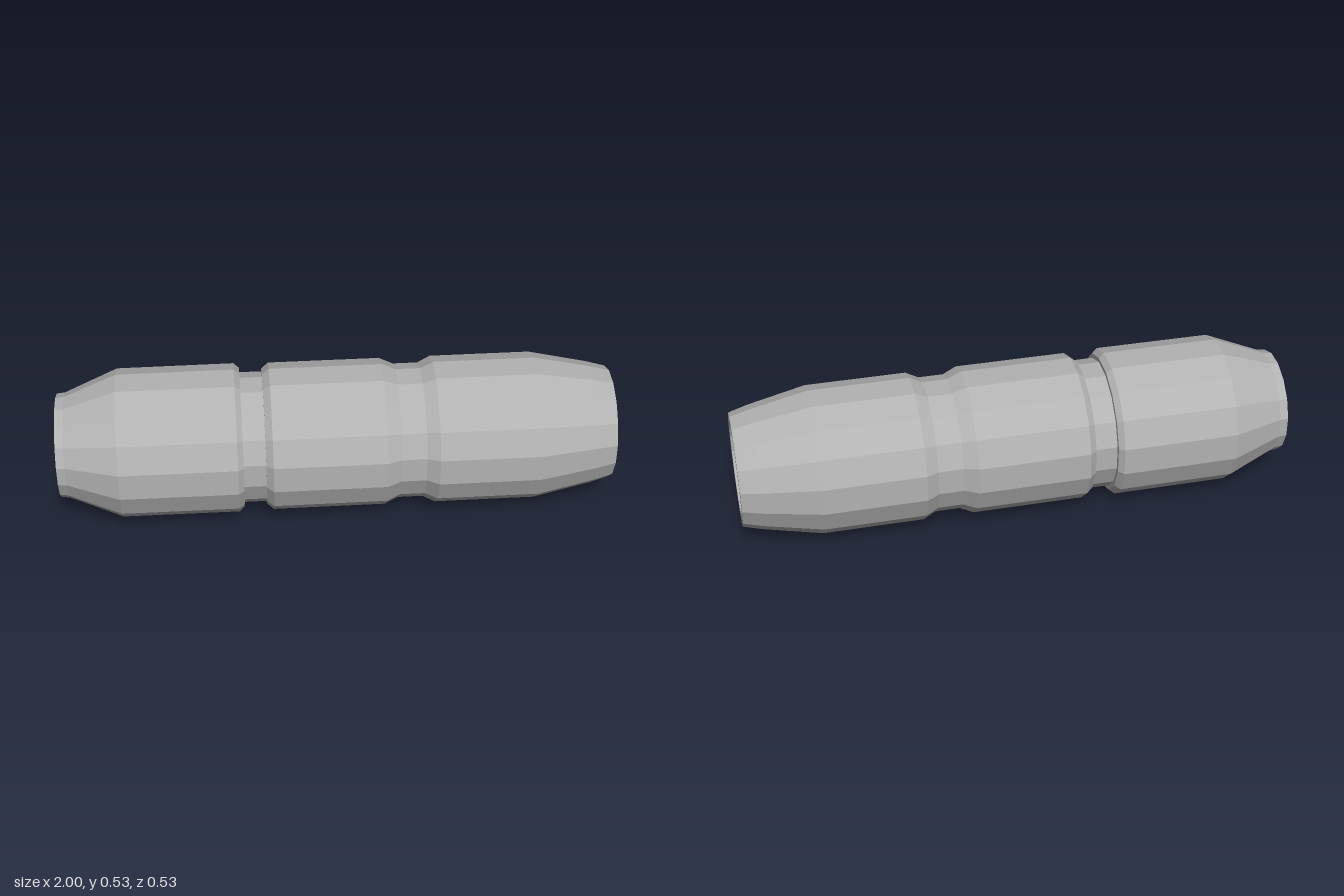
import * as THREE from 'three';

const SIDES = 16;
const CENTRE_Y = 0.265;
const grey = new THREE.MeshStandardMaterial({ color: 0xb2b2b2 });
grey.name = 'grey metal';

// Faceted turned part along x; profile lists [x, half height across the flats]
function turned(name, profile) {
  const k = 1 / Math.cos(Math.PI / SIDES);
  const points = profile.map(([x, r]) => new THREE.Vector2(r * k, x));
  const lathe = new THREE.LatheGeometry(points, SIDES, Math.PI / SIDES);
  lathe.rotateZ(-Math.PI / 2);
  const geometry = lathe.toNonIndexed();
  geometry.computeVertexNormals();
  const mesh = new THREE.Mesh(geometry, grey);
  mesh.name = name;
  mesh.position.y = CENTRE_Y;
  return mesh;
}

export function createModel() {
  const group = new THREE.Group();
  group.name = 'cylindrical handle';

  // Closed rear sleeve with a tapered end
  group.add(turned('rearSleeve', [
    [-1, 0], [-1, 0.184], [-0.97, 0.187], [-0.78, 0.264],
    [-0.36, 0.265], [-0.34, 0.248], [-0.34, 0.22],
  ]));

  // Recessed collar between the two halves
  group.add(turned('collar', [[-0.345, 0.232], [-0.255, 0.232]]));

  // Front barrel with a shallow waist, tapered muzzle and blind bore
  group.add(turned('frontBarrel', [
    [-0.26, 0.225], [-0.26, 0.241], [-0.235, 0.262], [0.17, 0.262],
    [0.22, 0.24], [0.31, 0.24], [0.355, 0.262], [0.72, 0.262],
    [0.93, 0.219], [0.99, 0.203], [1, 0.2],
    [1, 0.163], [0.85, 0.107], [0.85, 0],
  ]));

  return group;
}
